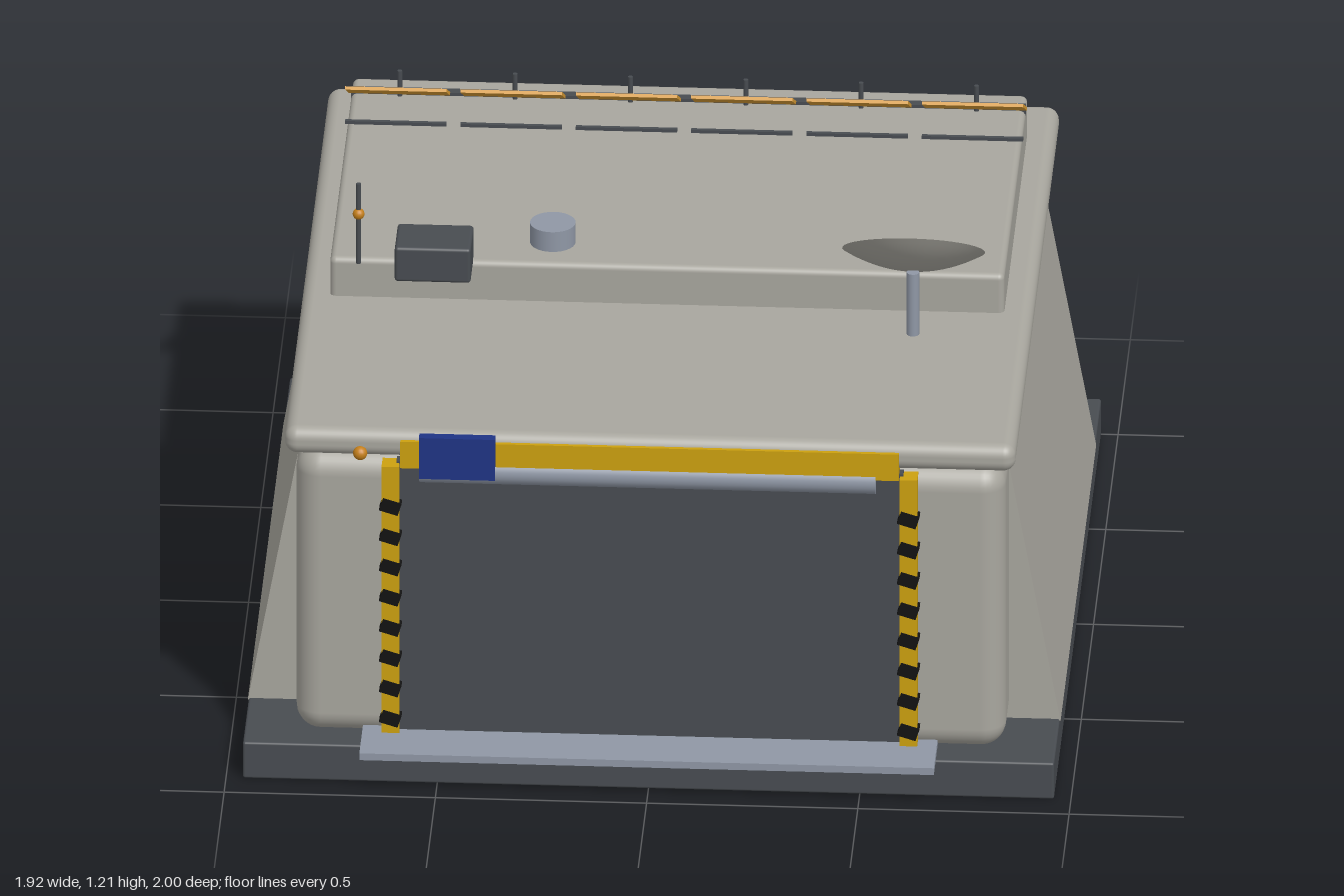
import * as THREE from 'three';
import { RoundedBoxGeometry } from 'three/addons/geometries/RoundedBoxGeometry.js';

const paint = (name, color, side = THREE.FrontSide) => {
  const m = new THREE.MeshStandardMaterial({ color, side });
  m.name = name;
  return m;
};

export function createModel() {
  const root = new THREE.Group();
  root.name = 'hangar';

  const wall = paint('warm grey wall', 0xa8a69e, THREE.DoubleSide);
  const dark = paint('dark slate', 0x484c51);
  const steel = paint('blue grey steel', 0x8f97a5);
  const yellow = paint('hazard yellow', 0xcca010);
  const black = paint('hazard black', 0x121212);
  const blue = paint('sign blue', 0x1f3485);
  const gold = paint('solar gold', 0xd99c35);
  const amber = paint('amber lamp', 0xc47f1a);

  const add = (name, geo, mat, x = 0, y = 0, z = 0, parent = root) => {
    const m = new THREE.Mesh(geo, mat);
    m.name = name;
    m.position.set(x, y, z);
    parent.add(m);
    return m;
  };
  // Box given by its limits on each axis, optionally with rounded edges
  const box = (name, mat, [x0, x1], [y0, y1], [z0, z1], r = 0) => {
    const s = [x1 - x0, y1 - y0, z1 - z0];
    const geo = r ? new RoundedBoxGeometry(...s, 4, r) : new THREE.BoxGeometry(...s);
    return add(name, geo, mat, (x0 + x1) / 2, (y0 + y1) / 2, (z0 + z1) / 2);
  };
  const rod = (name, mat, r, y0, y1, x, z, sides = 16) =>
    add(name, new THREE.CylinderGeometry(r, r, y1 - y0, sides), mat, x, (y0 + y1) / 2, z);

  // Main volumes
  box('basePlinth', dark, [-0.96, 0.96], [0, 0.095], [-1, 0.925], 0.006);
  box('mainBody', wall, [-0.84, 0.84], [0.085, 0.83], [-0.925, 0.86], 0.06);
  box('roofSlab', wall, [-0.865, 0.865], [0.83, 0.9], [-0.945, 0.875], 0.03);
  box('upperDeck', wall, [-0.798, 0.798], [0.88, 1.0], [-0.79, 0.165], 0.015);

  // Sloping side buttresses
  for (const s of [-1, 1]) {
    const profile = new THREE.Shape([[0.8, 0.09], [0.962, 0.09], [0.838, 0.775], [0.8, 0.775]]
      .map(([x, y]) => new THREE.Vector2(s * x, y)));
    const geo = new THREE.ExtrudeGeometry(profile, { depth: 1.455, bevelEnabled: false });
    add('sideButtress', geo, wall, 0, 0, -0.765);
  }

  // Doorway
  box('doorPanel', dark, [-0.6, 0.6], [0.1, 0.82], [0.84, 0.867]);
  box('doorLintel', yellow, [-0.59, 0.59], [0.81, 0.88], [0.84, 0.883]);
  box('threshold', steel, [-0.68, 0.68], [0.094, 0.112], [0.82, 1.0]);
  add('shutterRoller', new THREE.CylinderGeometry(0.034, 0.034, 1.08, 24).rotateZ(Math.PI / 2),
    steel, -0.005, 0.799, 0.856);
  for (const s of [-1, 1]) {
    box('doorPost', yellow, [s * 0.613 - 0.021, s * 0.613 + 0.021], [0.11, 0.815], [0.84, 0.888]);
    for (let i = 0; i < 8; i++) {
      const stripe = add('hazardStripe', new THREE.BoxGeometry(0.046, 0.033, 0.05), black,
        s * 0.613, 0.15 + i * 0.08, 0.866);
      stripe.rotation.z = -0.3;
    }
  }
  box('entranceSign', blue, [-0.545, -0.365], [0.79, 0.898], [0.872, 0.897]);
  add('doorLamp', new THREE.SphereGeometry(0.017, 16, 12), amber, -0.685, 0.845, 0.878);

  // Roof equipment
  box('equipmentBox', dark, [-0.64, -0.46], [0.985, 1.075], [0.12, 0.253], 0.008);
  rod('roofVent', steel, 0.054, 0.99, 1.052, -0.277, 0.05, 28);
  rod('antennaMast', dark, 0.006, 0.99, 1.2, -0.73, 0.168, 10);
  add('antennaLamp', new THREE.SphereGeometry(0.014, 16, 12), amber, -0.73, 1.12, 0.168);

  // Dish: shallow bowl on a post, opening up and to the rear
  rod('dishPost', steel, 0.015, 0.89, 1.063, 0.589, 0.285);
  const curve = [];
  for (let i = 0; i <= 10; i++) {
    const r = i / 10;
    curve.push(new THREE.Vector2(0.169 * r, 0.048 * r * r));
  }
  const dish = add('dishBowl', new THREE.LatheGeometry(curve, 40), wall, 0.589, 1.068, 0.285);
  dish.rotation.x = -Math.atan2(0.2, 0.275);

  // Row of tilted solar panels with rail, posts and front strips
  box('solarRail', dark, [-0.798, 0.798], [0.985, 1.008], [-0.725, -0.702]);
  for (let i = 0; i < 6; i++) {
    const x = (i - 2.5) * 0.273;
    const panel = add('solarPanel', new THREE.BoxGeometry(0.24, 0.008, 0.172), gold, x, 1.056, -0.61);
    panel.rotation.x = -0.51;
    rod('solarPost', dark, 0.006, 0.99, 1.066, x, -0.697, 8);
    box('solarStrip', dark, [x - 0.12, x + 0.12], [1.005, 1.013], [-0.54, -0.53]);
  }

  return root;
}
